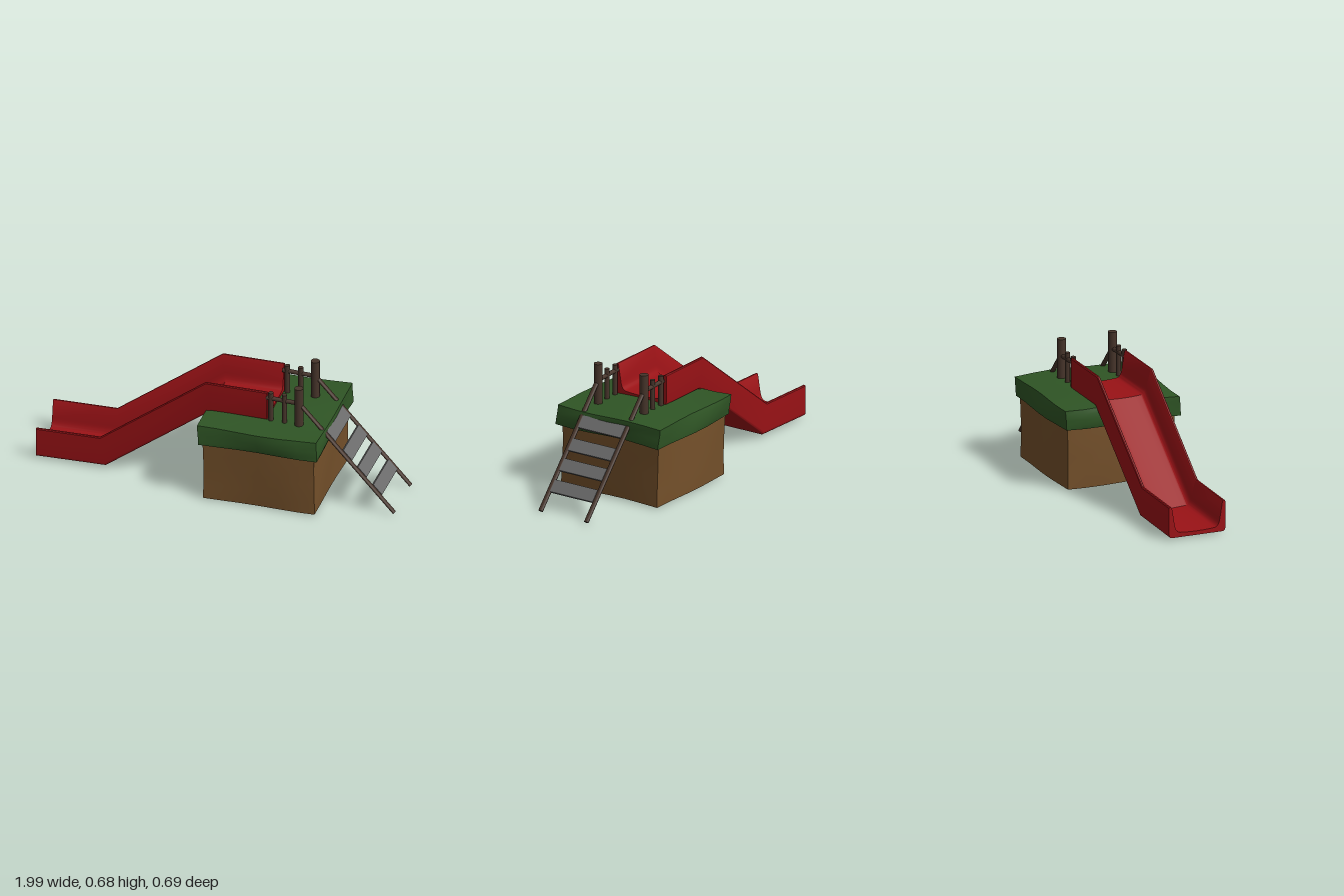
import * as THREE from 'three';
import { toCreasedNormals } from 'three/addons/utils/BufferGeometryUtils.js';

const material = (color) => new THREE.MeshStandardMaterial({ color });
const red = material(0x9a1216);
const green = material(0x2f5525);
const earth = material(0x74502a);
const wood = material(0x46342a);
const grey = material(0x6b6b6b);

const CENTER_Z = 0.015; // centre line of railings and ladder
const RAIL_Z = 0.148;   // half distance between the two sides

// Box with softened edges and gently uneven faces
function unevenBox(name, mat, min, max, wobble, pinch) {
  const size = max.clone().sub(min);
  const mid = min.clone().add(max).multiplyScalar(0.5);
  const geo = new THREE.BoxGeometry(size.x, size.y, size.z, 6, 4, 6);
  const p = geo.attributes.position;
  const v = new THREE.Vector3();
  for (let i = 0; i < p.count; i++) {
    v.fromBufferAttribute(p, i);
    const s = ['x', 'y', 'z'].map((k) => (v[k] / size[k]) * 2);
    const onEdge = s.filter((t) => Math.abs(t) > 0.99).length;
    const [a, b, c] = s;
    if (onEdge > 1) s.forEach((t, n) => {
      if (Math.abs(t) > 0.99) v.setComponent(n, v.getComponent(n) - Math.sign(t) * 0.005);
    });
    // waist the walls slightly, then ripple every face
    const waist = 1 - pinch * (1 - b * b);
    v.x = v.x * waist + wobble * 0.6 * Math.sin(3 * c + 2 * b);
    v.z = v.z * waist + wobble * Math.sin(3.4 * a + b);
    v.y += wobble * 0.8 * Math.cos(3.6 * c + 1.2 * a);
    p.setXYZ(i, v.x, v.y, v.z);
  }
  const mesh = new THREE.Mesh(toCreasedNormals(geo, 0.5), mat);
  mesh.name = name;
  mesh.position.copy(mid);
  return mesh;
}

// Round bar between two points
function bar(name, from, to, radius, flatten = 1) {
  const dir = to.clone().sub(from);
  const mesh = new THREE.Mesh(new THREE.CylinderGeometry(radius, radius, dir.length(), 16), wood);
  mesh.name = name;
  mesh.scale.x = flatten;
  mesh.position.copy(from).add(to).multiplyScalar(0.5);
  mesh.quaternion.setFromUnitVectors(new THREE.Vector3(0, 1, 0), dir.normalize());
  return mesh;
}

// Trough section swept through four mitred stations
function slide() {
  const w = 0.1625;
  const s = new THREE.Shape();
  s.moveTo(-w + 0.018, 0);
  s.lineTo(w - 0.018, 0);
  s.quadraticCurveTo(w, 0, w, 0.11);
  s.lineTo(w, 0.97);
  s.lineTo(w - 0.004, 1);
  s.lineTo(w - 0.012, 1);
  s.lineTo(w - 0.016, 0.97);
  s.lineTo(0.131, 0.42);
  s.quadraticCurveTo(0.124, 0.17, 0.1, 0.155);
  s.quadraticCurveTo(0, 0.1, -0.1, 0.155);
  s.quadraticCurveTo(-0.124, 0.17, -0.131, 0.42);
  s.lineTo(-w + 0.016, 0.97);
  s.lineTo(-w + 0.012, 1);
  s.lineTo(-w + 0.004, 1);
  s.lineTo(-w, 0.97);
  s.lineTo(-w, 0.11);
  s.quadraticCurveTo(-w, 0, -w + 0.018, 0);
  const geo = new THREE.ExtrudeGeometry(s, { depth: 3, steps: 3, bevelEnabled: false, curveSegments: 6 });
  // each station: bottom x, bottom y, top x, top y
  const stations = [
    [-1, 0.014, -1, 0.186],
    [-0.615, 0.022, -0.645, 0.192],
    [-0.03, 0.46, -0.06, 0.632],
    [0.28, 0.46, 0.28, 0.632],
  ];
  const p = geo.attributes.position;
  for (let i = 0; i < p.count; i++) {
    const across = p.getX(i), h = p.getY(i);
    const [bx, by, tx, ty] = stations[Math.round(p.getZ(i))];
    p.setXYZ(i, bx + (tx - bx) * h, by + (ty - by) * h, 0.008 - across);
  }
  const mesh = new THREE.Mesh(toCreasedNormals(geo, 0.55), red);
  mesh.name = 'slide';
  return mesh;
}

export function createModel() {
  const model = new THREE.Group();
  model.name = 'moundSlide';
  const V = (x, y, z) => new THREE.Vector3(x, y, z);

  // Mound
  model.add(unevenBox('earthMound', earth, V(-0.038, 0.008, -0.319), V(0.59, 0.37, 0.314), 0.004, 0.012));
  model.add(unevenBox('grassTop', green, V(-0.06, 0.346, -0.338), V(0.607, 0.466, 0.334), 0.007, 0));
  model.add(slide());

  // Railings and ladder rails, one per side
  const ladderTop = V(0.462, 0.588, 0), ladderFoot = V(0.984, 0.012, 0);
  for (const side of [1, -1]) {
    const z = CENTER_Z + side * RAIL_Z;
    const railing = new THREE.Group();
    railing.name = side > 0 ? 'leftRailing' : 'rightRailing';
    railing.add(bar('tallPost', V(0.455, 0.44, z), V(0.455, 0.686, z), 0.024));
    for (const x of [0.3, 0.375]) {
      railing.add(bar('shortPost', V(x, 0.44, z), V(x, 0.632, z), 0.014));
    }
    railing.add(bar('handrail', V(0.275, 0.598, z), V(0.455, 0.592, z), 0.012));
    railing.add(bar('ladderRail', ladderTop.clone().setZ(z), ladderFoot.clone().setZ(z), 0.014, 0.65));
    model.add(railing);
  }

  // Ladder steps lying in the plane of the rails
  const slope = ladderFoot.clone().sub(ladderTop);
  for (const y of [0.408, 0.307, 0.218, 0.124]) {
    const t = (y - ladderTop.y) / slope.y;
    const step = new THREE.Mesh(new THREE.BoxGeometry(0.072, 0.018, 2 * RAIL_Z - 0.02), grey);
    step.name = 'ladderStep';
    step.position.copy(ladderTop).addScaledVector(slope, t).setZ(CENTER_Z);
    step.rotation.z = Math.atan2(slope.y, slope.x);
    model.add(step);
  }
  return model;
}
